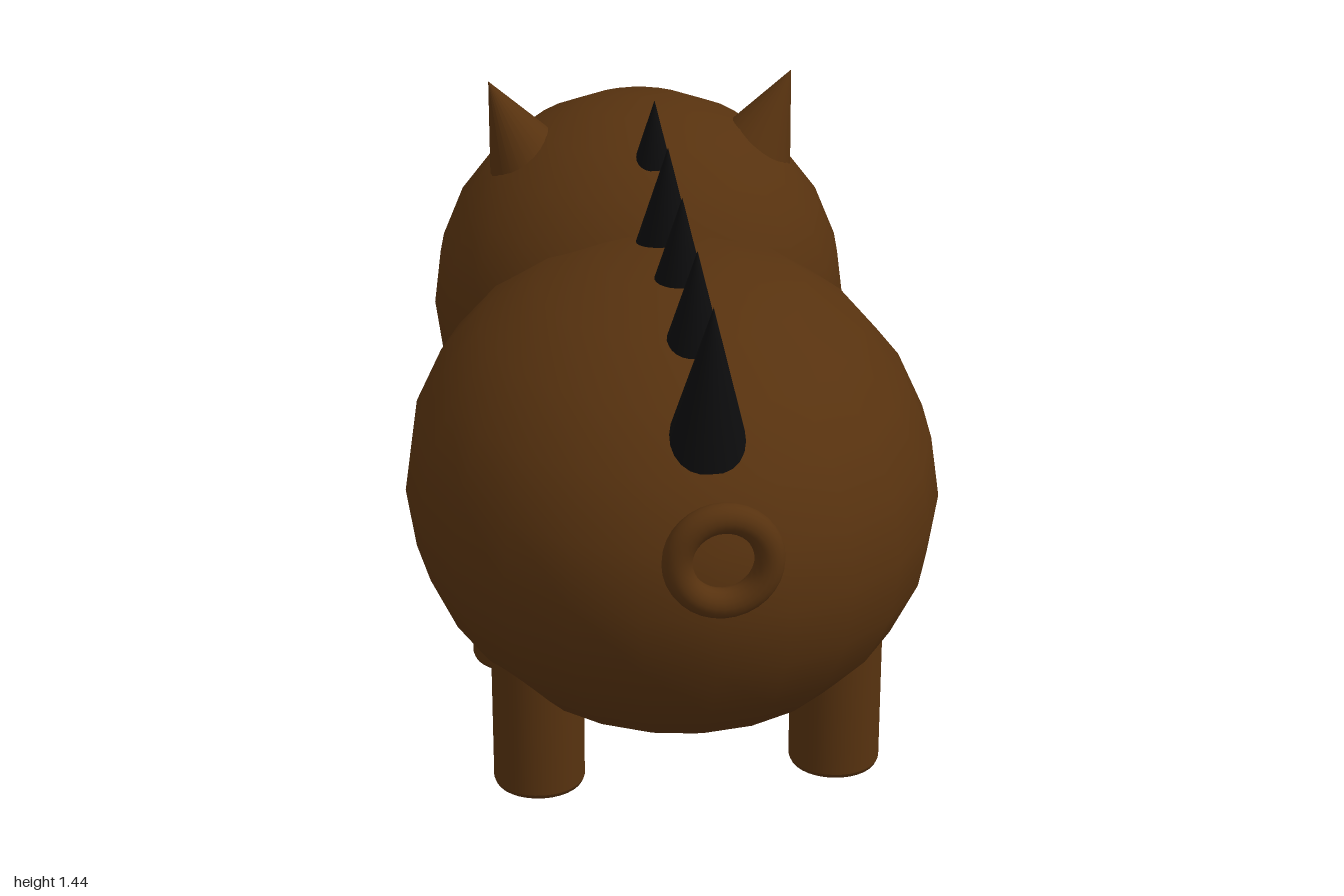
import * as THREE from 'three';

export function createModel() {
  const model = new THREE.Group();
  model.name = 'boar';

  const material = (name, color) => {
    const m = new THREE.MeshStandardMaterial({ color });
    m.name = name;
    return m;
  };
  const brown = material('brown hide', 0x57320f);
  const black = material('black', 0x0d0d0e);
  const pink = material('pink snout', 0xdb6b60);
  const white = material('white', 0xdcdcf0);

  const UP = new THREE.Vector3(0, 1, 0);
  const add = (name, geometry, mat, x, y, z) => {
    const mesh = new THREE.Mesh(geometry, mat);
    mesh.name = name;
    mesh.position.set(x, y, z);
    model.add(mesh);
    return mesh;
  };

  // Cylinder with softly bevelled rims, standing on its own y = 0
  const bevelledCylinder = (r, h, b) => {
    const profile = [
      [0, 0], [r - b, 0], [r - b, 0], [r - b * 0.3, b * 0.3], [r, b], [r, b],
      [r, h - b], [r, h - b], [r - b * 0.3, h - b * 0.3], [r - b, h], [r - b, h], [0, h],
    ];
    return new THREE.LatheGeometry(profile.map(([x, y]) => new THREE.Vector2(x, y)), 32);
  };

  // Body and head
  const sphere = new THREE.SphereGeometry(1, 24, 12);
  add('body', sphere, brown, 0, 0.615, 0.17).scale.set(0.617, 0.553, 0.752);
  add('head', sphere, brown, 0, 0.862, -0.39).scale.setScalar(0.505);

  // Legs
  const legGeometry = bevelledCylinder(0.105, 0.4, 0.014);
  for (const [end, z] of [['front', -0.15], ['back', 0.465]])
    for (const [side, x] of [['Left', 0.345], ['Right', -0.345]])
      add(end + side + 'Leg', legGeometry, brown, x, 0, z);

  // Ring tail
  add('tail', new THREE.TorusGeometry(0.0975, 0.0325, 16, 32), brown, 0, 0.78, 0.968);

  // Row of spikes along the back, leaning to the rear
  const spikeHeight = 0.4, spikeTilt = 0.25;
  const spikeGeometry = new THREE.ConeGeometry(0.1, spikeHeight, 24);
  spikeGeometry.translate(0, -spikeHeight / 2, 0); // pivot at the tip
  for (let i = 0; i < 5; i++) {
    const spike = add('spike' + (i + 1), spikeGeometry, black, 0, 1.28 + i * 0.041, 0.81 - i * 0.2275);
    spike.rotation.x = spikeTilt;
  }

  // Snout disc and nostrils
  const snout = add('snout', bevelledCylinder(0.195, 0.18, 0.016), pink, 0, 0.782, -0.765);
  snout.rotation.x = -Math.PI / 2;

  const earGeometry = new THREE.ConeGeometry(0.11, 0.24, 24);
  earGeometry.translate(0, -0.12, 0); // pivot at the tip
  const tuskGeometry = new THREE.CylinderGeometry(0.02, 0.045, 0.14, 24);
  const ball = new THREE.SphereGeometry(1, 20, 14);

  for (const [side, s] of [['left', 1], ['right', -1]]) {
    add(side + 'Nostril', ball, brown, s * 0.067, 0.795, -0.96).scale.setScalar(0.04);

    // Ears lean outwards
    add(side + 'Ear', earGeometry, brown, s * 0.365, 1.43, -0.348).rotation.z = -s * 0.43;

    // Tusks flare down and out from the cheeks
    const tusk = add(side + 'Tusk', tuskGeometry, white, s * 0.27, 0.65, -0.797);
    tusk.quaternion.setFromUnitVectors(UP, new THREE.Vector3(-s * 0.37, 0.9, 0.25).normalize());

    // Flattened eyes following the curve of the head
    const eye = add(side + 'Eye', ball, black, s * 0.215, 1.092, -0.785);
    eye.scale.set(0.07, 0.1, 0.036);
    eye.lookAt(s * 0.43, 1.322, -1.18);

    // Eye highlights, offset the same way on both eyes
    add(side + 'EyeHighlight', ball, white, s * 0.215 - 0.022, 1.105, -0.82).scale.setScalar(0.031);
    add(side + 'EyeSparkle', ball, white, s * 0.215 + 0.016, 1.022, -0.826).scale.setScalar(0.014);
  }

  return model;
}
